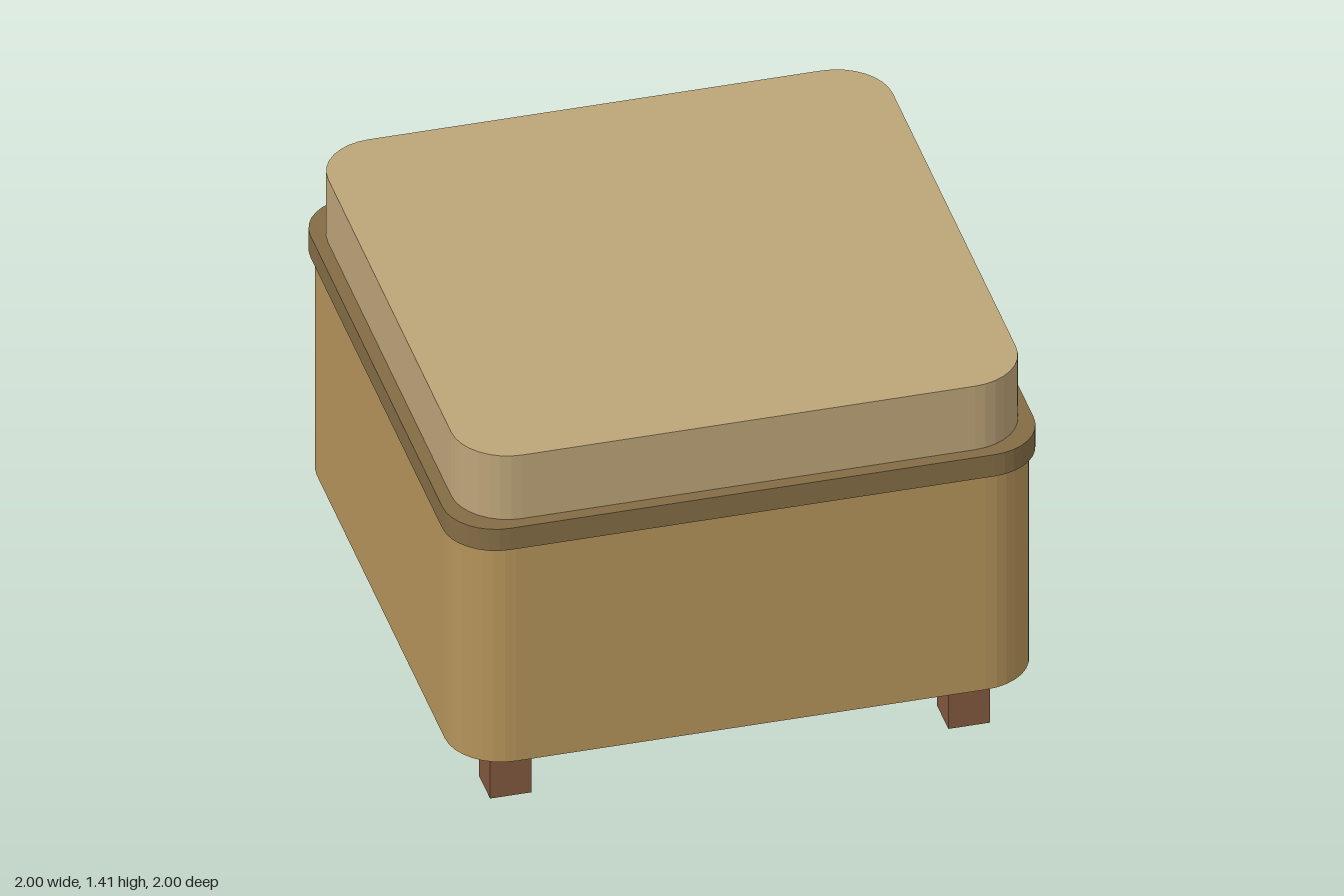
import * as THREE from 'three';

// Square slab with rounded vertical corners, from height y0 to y1
function roundedSlab(name, half, radius, y0, y1, color) {
  const c = half - radius;
  const shape = new THREE.Shape();
  [[c, c], [-c, c], [-c, -c], [c, -c]].forEach(([x, y], i) =>
    shape.absarc(x, y, radius, i * Math.PI / 2, (i + 1) * Math.PI / 2, false));
  const geometry = new THREE.ExtrudeGeometry(shape, {
    depth: y1 - y0, bevelEnabled: false, curveSegments: 4,
  });
  geometry.rotateX(-Math.PI / 2).translate(0, y0, 0);
  const mesh = new THREE.Mesh(geometry,
    new THREE.MeshStandardMaterial({ color, flatShading: true }));
  mesh.name = name;
  return mesh;
}

export function createModel() {
  const model = new THREE.Group();
  model.name = 'ottoman';

  // Upholstered box, lid rim and seat cushion
  model.add(
    roundedSlab('body', 0.985, 0.19, 0.23, 1.075, 0xb5935a),
    roundedSlab('lidRim', 1.0, 0.18, 1.075, 1.16, 0x836c45),
    roundedSlab('cushion', 0.955, 0.19, 1.16, 1.41, 0xbca478),
  );

  // Four square legs
  const legHeight = 0.23;
  const legGeometry = new THREE.BoxGeometry(0.14, legHeight, 0.14);
  const legMaterial = new THREE.MeshStandardMaterial({ color: 0x80583e, flatShading: true });
  for (const [zName, z] of [['front', 1], ['back', -1]]) {
    for (const [xName, x] of [['Left', 1], ['Right', -1]]) {
      const leg = new THREE.Mesh(legGeometry, legMaterial);
      leg.name = `${zName}${xName}Leg`;
      leg.position.set(x * 0.775, legHeight / 2, z * 0.775);
      model.add(leg);
    }
  }
  return model;
}
